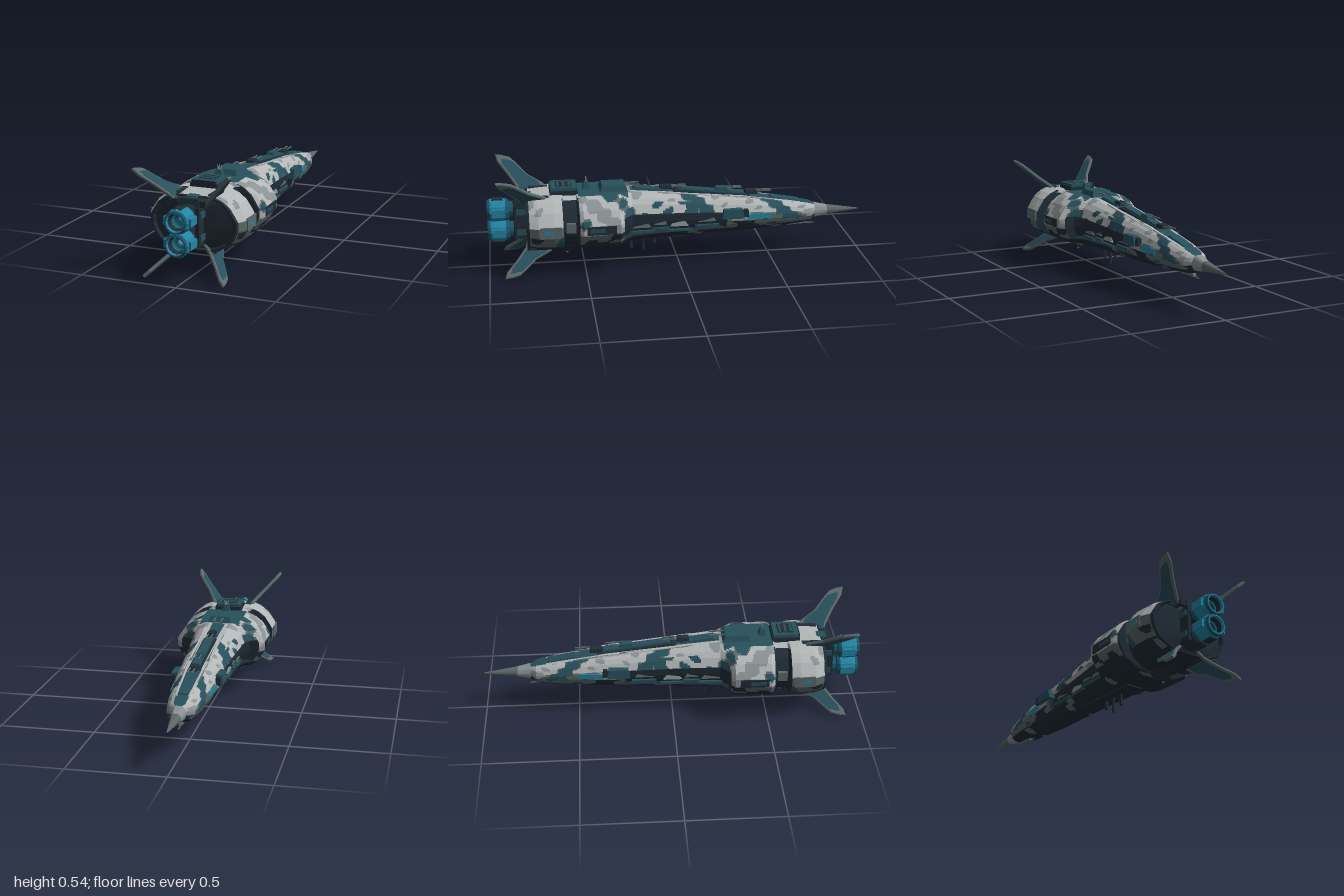
import * as THREE from 'three';

const mat = (name, color, side = THREE.FrontSide) => {
  const m = new THREE.MeshStandardMaterial({ color, side });
  m.name = name;
  return m;
};
const WHITE = mat('pale armour', 0xb2b6b6), LIGHT = mat('light grey', 0x8a9293), GREY = mat('mid grey', 0x5c6869);
const TEAL = mat('teal paint', 0x27505b), DARK = mat('dark navy', 0x202c36), BLUE = mat('engine blue', 0x2385a4, THREE.DoubleSide);
const GLOW = mat('engine glow', 0x6fc0d2), DEEP = mat('deep blue', 0x1b5568, THREE.DoubleSide);
const PAINTS = [WHITE, LIGHT, GREY, TEAL, DARK];

// Hull sections from nose to stern: z, half width, bottom, top
const SECTIONS = [
  [-1, 0.002, 0.218, 0.224], [-0.82, 0.027, 0.2, 0.25], [-0.75, 0.036, 0.188, 0.266], [-0.72, 0.066, 0.173, 0.276],
  [-0.6, 0.088, 0.163, 0.3], [-0.35, 0.11, 0.148, 0.34], [0, 0.132, 0.14, 0.375], [0.25, 0.155, 0.13, 0.4],
  [0.28, 0.19, 0.13, 0.402], [0.32, 0.245, 0.127, 0.405], [0.51, 0.25, 0.12, 0.405], [0.535, 0.225, 0.12, 0.405],
  [0.54, 0.175, 0.13, 0.4], [0.605, 0.175, 0.13, 0.4], [0.615, 0.245, 0.118, 0.405], [0.66, 0.254, 0.118, 0.406],
  [0.74, 0.25, 0.12, 0.402], [0.8, 0.222, 0.127, 0.396], [0.8, 0.21, 0.133, 0.39], [0.785, 0.2, 0.138, 0.385],
  [0.8, 0.07, 0.17, 0.36], [0.8, 0.001, 0.26, 0.262]
];
const STERN = 17; // first section of the dark stern plate
// Half of the cross-section in unit coordinates, top to bottom
const PROFILE = [[0, 1], [0.45, 1], [0.66, 0.85], [0.82, 0.64], [0.94, 0.33], [1, 0.16], [1, -0.16], [0.94, -0.4], [0.82, -0.7], [0.47, -0.98], [0, -1]];

function ringPoints() {
  const full = [...PROFILE, ...PROFILE.slice(1, -1).reverse().map(([x, y]) => [-x, y])];
  return full.flatMap((p, i) => {
    const q = full[(i + 1) % full.length];
    return [0, 1, 2, 3].map(k => [p[0] + (q[0] - p[0]) * k / 4, p[1] + (q[1] - p[1]) * k / 4]);
  });
}
const inRecess = (z, v) => z > -0.25 && z < 0.3 && v > -0.6 && v < 0.26;

// Broad camouflage above, dark belly below; returns an index into PAINTS
function paint(x, z, v, stern) {
  const a = Math.abs(x);
  const n = Math.sin(z * 13 + a * 25 + 0.5) + 0.7 * Math.sin(z * 29 - v * 4 + 1) + 0.35 * Math.sin(z * 61 + v * 11);
  if (stern || z > 0.785) return 4;
  if (z < -0.75) return z < -0.82 ? 2 : 1;
  if (z > 0.528 && z < 0.613) return v > 0.9 && a < 0.12 ? 0 : 4;
  if (inRecess(z, v)) return 4;
  if (v < -0.6) return n > 1.3 ? 2 : 4;
  if (v < -0.2) return n > 1.1 ? 3 : n > -0.6 ? 2 : 4;
  if (z > 0.6) return v < 0.15 ? 2 : n > 1.2 ? 1 : 0;
  if (z > 0.27 && v > 0.85 && a < 0.11) return 3;
  if (z < -0.25 && v < 0.3) return n > 0.6 ? 3 : n > -0.5 ? 2 : 1;
  if (z > -0.1 && z < 0.2 && v > 0.28 && v < 0.75) return n > -0.4 ? 3 : 0;
  if (z < 0.25 && v > 0.95 && a < 0.055) return a < 0.03 ? 3 : a < 0.045 ? 0 : 2;
  return n > 1 ? 3 : n > 0.75 ? 2 : n < -0.95 ? 1 : 0;
}

function hullGeometry() {
  const ring = ringPoints(), slices = [], buckets = PAINTS.map(() => []);
  SECTIONS.forEach((s, i) => {
    const t = SECTIONS[i + 1] || s, steps = Math.max(1, Math.ceil(Math.abs(t[0] - s[0]) / 0.007));
    for (let k = 0; k < steps; k++) slices.push({ s: s.map((a, j) => a + (t[j] - a) * k / steps), stern: i >= STERN });
  });
  const point = ([z, w, lo, hi], [u, v]) => [u * w * (inRecess(z, v) ? 0.8 : 1), (lo + hi) / 2 + v * (hi - lo) / 2, z];
  for (let i = 0; i + 1 < slices.length; i++) {
    const A = slices[i], B = slices[i + 1];
    ring.forEach((p, j) => {
      const q = ring[(j + 1) % ring.length];
      const a = point(A.s, p), b = point(A.s, q), c = point(B.s, q), d = point(B.s, p);
      const id = paint((a[0] + c[0]) / 2, (a[2] + c[2]) / 2, (p[1] + q[1]) / 2, A.stern);
      buckets[id].push(...a, ...d, ...c, ...a, ...c, ...b);
    });
  }
  const g = new THREE.BufferGeometry();
  g.setAttribute('position', new THREE.Float32BufferAttribute(buckets.flat(), 3));
  let start = 0;
  buckets.forEach((b, i) => { g.addGroup(start, b.length / 3, i); start += b.length / 3; });
  g.computeVertexNormals();
  return g;
}

const flat = g => { const f = g.index ? g.toNonIndexed() : g; f.computeVertexNormals(); return f; };

export function createModel() {
  const model = new THREE.Group();
  model.name = 'starship';
  const add = (name, geo, material, x = 0, y = 0, z = 0, tilt = 0) => {
    const m = new THREE.Mesh(geo, material);
    m.name = name;
    m.position.set(x, y, z);
    m.rotation.x = tilt;
    model.add(m);
    return m;
  };
  // Box with a narrower top
  const block = (name, material, w, h, d, x, y, z, tilt = 0, taper = 0.85) => {
    const g = new THREE.BoxGeometry(w, h, d), p = g.attributes.position;
    for (let i = 0; i < p.count; i++) if (p.getY(i) > 0) { p.setX(i, p.getX(i) * taper); p.setZ(i, p.getZ(i) * taper); }
    return add(name, flat(g), material, x, y, z, tilt);
  };
  const pair = (name, material, w, h, d, x, y, z, tilt = 0, taper = 1) =>
    [-1, 1].forEach(s => block(name, material, w, h, d, s * x, y, z, tilt, taper));

  add('hull', hullGeometry(), PAINTS);

  // Dorsal spine, turrets and bridge
  const slope = -0.12;
  block('nosePlate', TEAL, 0.06, 0.02, 0.17, 0, 0.3, -0.58, slope - 0.06);
  block('spineBase', DARK, 0.075, 0.02, 0.46, 0, 0.353, -0.19, slope);
  block('spinePlate', TEAL, 0.05, 0.025, 0.4, 0, 0.361, -0.19, slope);
  block('spineAft', TEAL, 0.06, 0.02, 0.2, 0, 0.391, 0.14, slope);
  pair('spineRail', WHITE, 0.012, 0.016, 0.5, 0.052, 0.355, -0.14, slope);
  [[-0.4, 0.35], [-0.24, 0.375], [0.06, 0.398]].forEach(([z, y], i) => {
    block('turret', i % 2 ? TEAL : DARK, 0.045, 0.02, 0.07, 0, y, z);
    pair('turretBarrel', GREY, 0.006, 0.006, 0.1, 0.012, y + 0.004, z - 0.06);
  });
  block('foreDeck', TEAL, 0.13, 0.034, 0.15, 0, 0.416, 0.34, 0, 0.8);
  pair('deckBarrel', GREY, 0.007, 0.007, 0.1, 0.02, 0.425, 0.25);
  block('bridge', TEAL, 0.138, 0.03, 0.14, 0, 0.425, 0.6, 0, 0.95);
  block('bridgeFoot', DARK, 0.15, 0.03, 0.15, 0, 0.41, 0.6, 0, 0.95);
  block('bridgeStern', DARK, 0.13, 0.028, 0.006, 0, 0.425, 0.67, 0, 0.97);
  block('bridgeRoof', DARK, 0.095, 0.006, 0.09, 0, 0.44, 0.6);
  for (const z of [0.57, 0.6, 0.63]) block('roofRib', TEAL, 0.08, 0.004, 0.014, 0, 0.443, z);
  block('mastBase', TEAL, 0.045, 0.04, 0.04, 0, 0.43, 0.48, 0, 0.5);
  [-1, 0, 1].forEach(s => {
    const mast = add('mast', flat(new THREE.CylinderGeometry(0.002, 0.004, 0.026, 6)), LIGHT, s * 0.008, 0.461, 0.48);
    mast.rotation.z = -s * 0.25;
  });
  block('sternHump', DARK, 0.11, 0.04, 0.1, 0, 0.372, 0.8);
  block('sternCap', TEAL, 0.06, 0.014, 0.07, 0, 0.392, 0.79);
  pair('sternVent', DARK, 0.03, 0.03, 0.09, 0.07, 0.37, 0.8);

  // Flank details
  pair('flankPod', TEAL, 0.04, 0.05, 0.12, 0.115, 0.27, -0.285, 0, 0.85);
  pair('flankPodCap', DARK, 0.025, 0.04, 0.03, 0.115, 0.27, -0.355, 0, 0.8);
  [-1, 1].forEach(s => {
    const strip = block('blueStripe', BLUE, 0.008, 0.028, 0.13, s * 0.101, 0.243, -0.43, 0, 1);
    strip.rotation.y = s * 0.085;
  });
  [[-0.15, 0.24, 0.1], [0, 0.225, 0.1], [0.1, 0.24, 0.07], [0.2, 0.23, 0.1]].forEach(([z, y, d], i) => {
    pair('recessMachinery', i === 1 ? LIGHT : GREY, 0.026, 0.028, d, 0.096 + z * 0.06, y, z, 0, 0.6);
    pair('recessPipe', TEAL, 0.015, 0.012, d * 1.3, 0.106 + z * 0.06, y - 0.035, z);
  });
  pair('shoulderPanel', DARK, 0.008, 0.045, 0.15, 0.248, 0.262, 0.42);
  pair('shoulderVent', TEAL, 0.008, 0.02, 0.08, 0.25, 0.262, 0.44);
  pair('collarPanel', GREY, 0.008, 0.06, 0.11, 0.251, 0.262, 0.68);
  pair('collarLight', BLUE, 0.008, 0.016, 0.05, 0.2525, 0.262, 0.69);
  pair('waistTank', GREY, 0.03, 0.05, 0.05, 0.18, 0.26, 0.573);

  // Keel pod and belly masts
  const keel = new THREE.LatheGeometry([[0.001, 0.06], [0.012, 0.066], [0.022, 0.085], [0.036, 0.11], [0.044, 0.13]].map(p => new THREE.Vector2(...p)), 12);
  add('keelPod', flat(keel.scale(1, 1, 2.1)), DARK, 0, 0, 0.59);
  add('keelTip', new THREE.SphereGeometry(0.007, 8, 6), GREY, 0, 0.058, 0.59);
  [[0.12, 0.05], [0.18, 0.085], [0.245, 0.07]].forEach(([z, h]) => {
    block('bellyMast', DARK, 0.012, h, 0.014, 0, 0.135 - h / 2, z);
    block('bellyMastFoot', DARK, 0.008, 0.02, 0.018, 0, 0.14 - h, z);
  });
  block('bellyBay', DARK, 0.09, 0.02, 0.4, 0, 0.135, 0.16, 0.03, 1);
  block('chinSensor', GREY, 0.02, 0.016, 0.12, 0, 0.16, -0.66, 0.05);
  block('chinProbe', GREY, 0.006, 0.006, 0.2, 0, 0.153, -0.66);

  // Twin stacked engines with open nozzles
  const lathe = pts => flat(new THREE.LatheGeometry(pts.map(p => new THREE.Vector2(...p)), 12).rotateX(Math.PI / 2));
  for (const y of [0.315, 0.204]) {
    const out = y > 0.25 ? 1 : -1;
    add('engineHousing', lathe([[0.04, 0.77], [0.056, 0.78], [0.056, 0.85], [0.042, 0.865]]), DARK, 0, y);
    add('engineNeck', lathe([[0.042, 0.865], [0.042, 0.885], [0.055, 0.89], [0.06, 0.905]]), DEEP, 0, y);
    add('engineNozzle', lathe([[0.06, 0.905], [0.062, 0.93], [0.062, 0.97], [0.059, 0.985]]), BLUE, 0, y);
    add('nozzleLip', lathe([[0.059, 0.985], [0.054, 1], [0.05, 1]]), DEEP, 0, y);
    add('nozzleRim', lathe([[0.05, 1], [0.045, 1], [0.043, 0.985]]), BLUE, 0, y);
    add('nozzleBore', lathe([[0.043, 0.985], [0.036, 0.96]]), DARK, 0, y);
    add('nozzleThroat', lathe([[0.036, 0.96], [0.03, 0.935], [0.001, 0.925]]), DEEP, 0, y);
    add('innerRing', new THREE.TorusGeometry(0.032, 0.003, 6, 20), BLUE, 0, y, 0.957);
    add('glowCore', new THREE.SphereGeometry(0.016, 12, 8), out < 0 ? GLOW : BLUE, 0, y, 0.928);
    pair('nozzleClamp', BLUE, 0.012, 0.04, 0.07, 0.065, y, 0.94);
    block('nozzleBand', DARK, 0.04, 0.008, 0.06, 0, y + out * 0.06, 0.945);
    pair('housingClamp', TEAL, 0.012, 0.03, 0.05, 0.059, y, 0.825);
  }
  pair('engineBrace', DARK, 0.02, 0.19, 0.08, 0.048, 0.26, 0.82);

  // Four swept fins in an X
  const outline = [[0.66, -0.04], [0.7, 0.05], [0.78, 0.105], [0.845, 0.185], [0.87, 0.212], [0.91, 0.226], [0.947, 0.232], [0.935, 0.185], [0.885, 0.11], [0.835, 0.02], [0.82, -0.04]];
  const finGeometry = (shrink, span, thick) => {
    const shape = new THREE.Shape(outline.map(([z, u]) => new THREE.Vector2(0.82 + (z - 0.82) * shrink, (0.1 + (u - 0.1) * shrink) * span)));
    return new THREE.ExtrudeGeometry(shape, {
      depth: thick, bevelEnabled: shrink === 1, bevelThickness: 0.004, bevelSize: 0.005, bevelOffset: -0.005, bevelSegments: 1
    }).translate(0, 0, -thick / 2);
  };
  const k = Math.SQRT1_2, axis = new THREE.Vector3(0, 0, 1);
  for (const up of [true, false]) {
    const span = up ? 1 : 0.81, body = finGeometry(1, span, 0.009), inlay = finGeometry(0.76, span, 0.019);
    for (const sx of [-1, 1]) {
      const fin = new THREE.Group(), d = new THREE.Vector3(sx * k, up ? k : -k, 0);
      fin.name = up ? 'upperFin' : 'lowerFin';
      fin.quaternion.setFromRotationMatrix(new THREE.Matrix4().makeBasis(axis, d, axis.clone().cross(d)));
      fin.position.set(sx * (up ? 0.081 : 0.075), up ? 0.375 : 0.138, up ? 0 : -0.025);
      [['finBody', body, GREY], ['finInlay', inlay, TEAL]].forEach(([name, g, m]) => {
        const mesh = new THREE.Mesh(g, m);
        mesh.name = name;
        fin.add(mesh);
      });
      model.add(fin);
      block('finRoot', DARK, 0.05, 0.04, 0.14, sx * 0.09, up ? 0.385 : 0.14, 0.73, 0, 0.7);
    }
  }
  return model;
}
